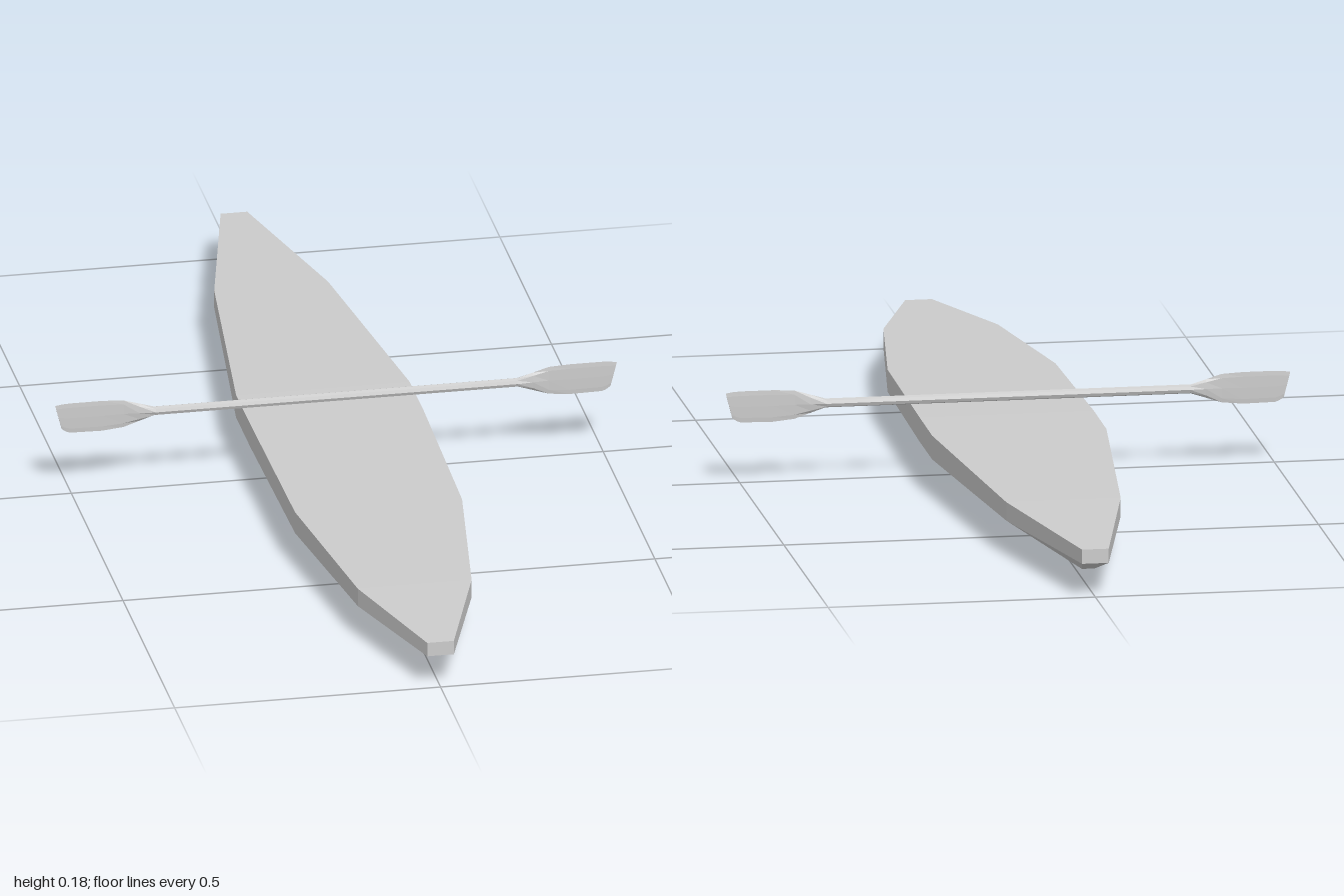
import * as THREE from 'three';

const material = new THREE.MeshStandardMaterial({ color: 0xcccccc, flatShading: true });

// Skin a row of closed rings (counter-clockwise about the travel direction) and cap both ends.
function loft(rings) {
  const n = rings[0].length, last = (rings.length - 1) * n, index = [];
  for (let i = 0; i < rings.length - 1; i++) {
    for (let j = 0; j < n; j++) {
      const a = i * n + j, b = i * n + (j + 1) % n;
      index.push(a, b, b + n, a, b + n, a + n);
    }
  }
  for (let j = 1; j < n - 1; j++) {
    index.push(0, j + 1, j, last, last + j, last + j + 1);
  }
  const geometry = new THREE.BufferGeometry();
  geometry.setAttribute('position', new THREE.Float32BufferAttribute(rings.flat(2), 3));
  geometry.setIndex(index);
  const flat = geometry.toNonIndexed();
  flat.computeVertexNormals();
  return flat;
}

function part(name, geometry) {
  const mesh = new THREE.Mesh(geometry, material);
  mesh.name = name;
  return mesh;
}

// Hull stations: z, half width, deck height, keel z, keel height, keel half width
const stations = [
  [-1.0, 0.025, 0.093, -0.92, 0.037, 0.012],
  [-0.64, 0.107, 0.101, -0.64, 0.017, 0.02],
  [-0.14, 0.163, 0.111, -0.14, 0.004, 0.025],
  [0.0, 0.163, 0.112, 0.0, 0.002, 0.025],
  [0.4, 0.157, 0.108, 0.4, 0.002, 0.024],
  [0.75, 0.107, 0.101, 0.7, 0.014, 0.019],
  [1.0, 0.025, 0.093, 0.89, 0.024, 0.012],
];
const chineY = 0.066;

function hullGeometry() {
  return loft(stations.map(([z, w, deckY, keelZ, keelY, keelW]) => [
    [-w, chineY, z], [-keelW, keelY, keelZ], [keelW, keelY, keelZ],
    [w, chineY, z], [w, deckY, z], [-w, deckY, z],
  ]));
}

// Blade sections: x, top, bottom, half thickness, slant of the edge
const bladeSections = [
  [0.34, 0.008, -0.008, 0.009, 0],
  [0.37, 0.017, -0.018, 0.005, 0],
  [0.4, 0.026, -0.028, 0.0015, 0],
  [0.44, 0.028, -0.032, 0.001, 0],
  [0.5, 0.028, -0.031, 0.001, 0],
  [0.512, 0.027, -0.028, 0.001, 0.004],
  [0.522, 0.025, -0.022, 0.001, 0.006],
];

function bladeGeometry() {
  const sides = 8;
  return loft(bladeSections.map(([x, top, bottom, thick, slant]) =>
    Array.from({ length: sides }, (_, j) => {
      const a = (j / sides) * Math.PI * 2, c = Math.cos(a);
      return [x + slant * c, (top + bottom) / 2 + c * (top - bottom) / 2, Math.sin(a) * thick];
    })));
}

export function createModel() {
  const model = new THREE.Group();
  model.name = 'kayak';
  model.add(part('hull', hullGeometry()));

  // Double paddle floating across the deck
  const paddle = new THREE.Group();
  paddle.name = 'paddle';
  paddle.position.set(0, 0.15, -0.012);
  const shaft = part('paddleShaft', new THREE.CylinderGeometry(0.0085, 0.0085, 0.68, 8));
  shaft.rotation.z = Math.PI / 2;
  paddle.add(shaft);

  // The second blade is the first one turned half round
  const leftBlade = part('leftBlade', bladeGeometry());
  const rightBlade = part('rightBlade', leftBlade.geometry);
  rightBlade.rotation.y = Math.PI;
  paddle.add(leftBlade, rightBlade);

  model.add(paddle);
  return model;
}
